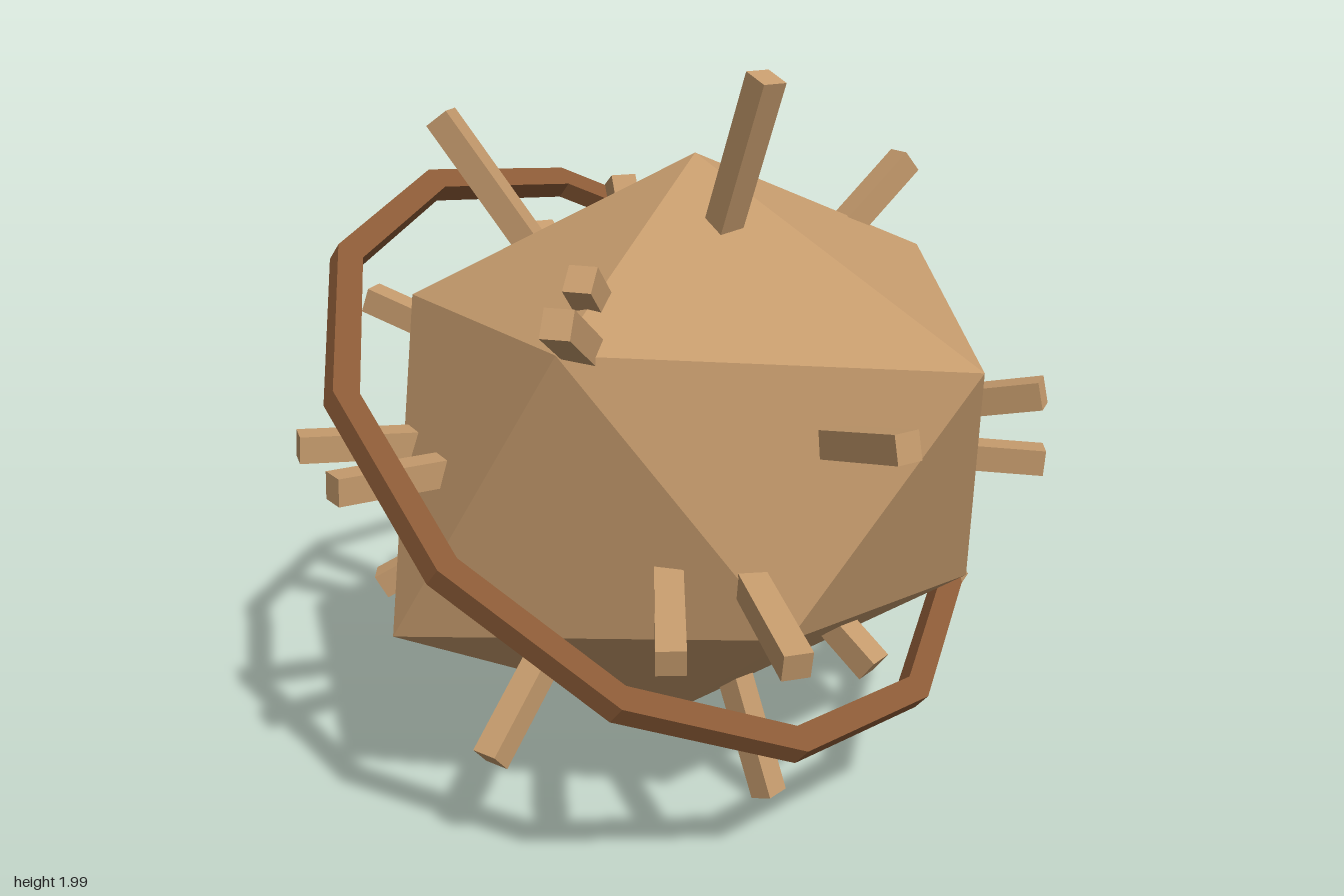
import * as THREE from 'three';

const tan = new THREE.MeshStandardMaterial({ color: 0xc49a6c, flatShading: true });
tan.name = 'tan';
const brown = new THREE.MeshStandardMaterial({ color: 0x8b5a36, flatShading: true });
brown.name = 'brown';

// Irregular icosahedron: apex, five upper and five lower corners, nadir
function bodyGeometry() {
  const top = [0.09, 0.75, 0.01], bottom = [-0.04, -0.8, 0.11];
  const upper = [[0.32, 0.32, 0.86], [-0.6, 0.415, 0.44], [-0.55, 0.38, -0.385], [0.3, 0.305, -0.755], [0.8, 0.44, 0.115]];
  const lower = [[-0.15, -0.295, 0.735], [-0.84, -0.385, 0.01], [-0.3, -0.395, -0.67], [0.75, -0.29, -0.54], [0.58, -0.36, 0.6]];
  const corners = [];
  for (let i = 0; i < 5; i++) {
    const j = (i + 1) % 5;
    corners.push(top, upper[j], upper[i]);
    corners.push(upper[i], upper[j], lower[i]);
    corners.push(lower[i], upper[j], lower[j]);
    corners.push(bottom, lower[i], lower[j]);
  }
  const geometry = new THREE.BufferGeometry();
  geometry.setAttribute('position', new THREE.Float32BufferAttribute(corners.flat(), 3));
  geometry.computeVertexNormals();
  return geometry;
}

// Spike tips, measured from the body's centre
const spikeTips = [
  // upper
  [0.02, 0.98, 0.39], [-0.41, 0.83, -0.45], [0.77, 0.68, 0.08], [-0.66, 0.52, 0.55],
  [-0.49, 0.56, 0.37], [0.09, 0.63, -0.35], [-0.54, 0.31, -0.68], [0.165, 0.38, -0.93],
  // middle
  [-0.03, 0.24, 0.98], [0.54, 0.23, 0.85], [0.78, -0.05, 0.66], [0.89, -0.06, -0.45],
  [0.7, 0.13, -0.7], [-0.98, 0.05, 0.03], [-0.95, 0.07, -0.25], [-0.11, -0.13, -0.98],
  [-0.53, -0.22, 0.79], [-0.31, -0.22, 0.96],
  // lower
  [0.865, -0.32, -0.17], [0.79, -0.51, 0.37], [0.2, -0.5, 0.66], [0.09, -0.98, 0.38],
  [0.32, -0.83, -0.53], [-0.71, -0.66, 0.26], [-0.355, -0.37, -0.87], [-0.68, -0.43, -0.4],
];

function makeSpike(tip) {
  const end = new THREE.Vector3(...tip);
  const length = end.length() * 0.55;
  const spike = new THREE.Mesh(new THREE.BoxGeometry(0.07, 0.07, length), tan);
  spike.name = 'spike';
  spike.lookAt(end);
  spike.position.copy(end).setLength(end.length() - length / 2);
  return spike;
}

// Tilted twelve-sided hoop with a square section
function makeRing() {
  const [inner, outer, half] = [0.93, 1.0, 0.028];
  const profile = [[outer, -half], [outer, half], [inner, half], [inner, -half], [outer, -half]]
    .map(([r, y]) => new THREE.Vector2(r, y));
  const ring = new THREE.Mesh(new THREE.LatheGeometry(profile, 12), brown);
  ring.name = 'ring';
  const axis = new THREE.Vector3(0.217, 0.773, 0.596).normalize();
  const side = new THREE.Vector3().crossVectors(axis, new THREE.Vector3(-0.743, 0.51, -0.39)).normalize();
  const corner = new THREE.Vector3().crossVectors(side, axis);
  ring.quaternion.setFromRotationMatrix(new THREE.Matrix4().makeBasis(side, axis, corner));
  return ring;
}

export function createModel() {
  const model = new THREE.Group();
  model.name = 'spikedRock';

  const body = new THREE.Mesh(bodyGeometry(), tan);
  body.name = 'body';

  const spikes = new THREE.Group();
  spikes.name = 'spikes';
  spikeTips.forEach((tip) => spikes.add(makeSpike(tip)));

  const assembly = new THREE.Group();
  assembly.name = 'assembly';
  assembly.position.y = 1;
  assembly.add(body, spikes, makeRing());
  model.add(assembly);
  return model;
}
